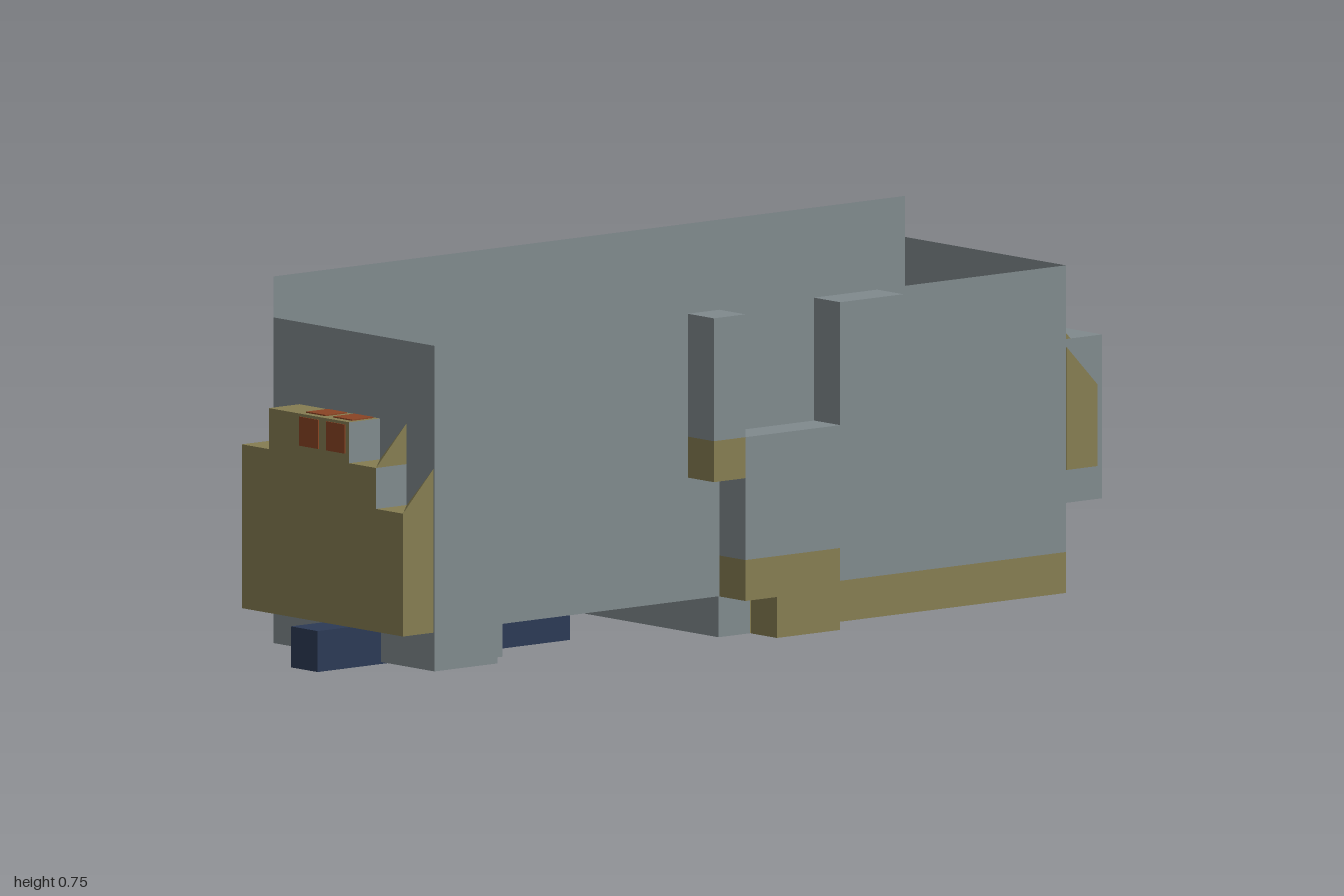
import * as THREE from 'three';
import { ConvexGeometry } from 'three/addons/geometries/ConvexGeometry.js';

const U = 1 / 12; // every size below is in grid cells of one twelfth
const paint = (name, color) => Object.assign(new THREE.MeshStandardMaterial({ color }), { name });

export function createModel() {
  const model = new THREE.Group();
  model.name = 'model';
  const grey = paint('steel grey', 0x808a8d);
  const olive = paint('olive', 0x857d52);
  const navy = paint('navy', 0x2c3a55);
  const red = paint('rust red', 0x8a4424);
  const sheet = grey.clone();
  sheet.name = 'steel grey sheet';
  sheet.side = THREE.DoubleSide;

  const add = (name, geometry, material) => {
    const mesh = new THREE.Mesh(geometry, material);
    mesh.name = name;
    model.add(mesh);
    return mesh;
  };
  // Box from its limits; mat may be a list in the order +x -x +y -y +z -z
  const box = (name, [x0, x1], [y0, y1], [z0, z1], mat) => {
    const g = new THREE.BoxGeometry((x1 - x0) * U, (y1 - y0) * U, (z1 - z0) * U);
    g.translate((x0 + x1) / 2 * U, (y0 + y1) / 2 * U, (z0 + z1) / 2 * U);
    return add(name, g, mat);
  };
  // Flat wall from a profile
  const wall = (name, pts) => {
    const shape = new THREE.Shape(pts.map(([a, b]) => new THREE.Vector2(a * U, b * U)));
    return add(name, new THREE.ShapeGeometry(shape), sheet);
  };
  // Four-sided spike filling one cell, tall at its outer inner-depth corner
  const spike = (xIn, xOut, y, zFace, zBack) => add('spike', new ConvexGeometry(
    [[xOut, y, zFace], [xOut, y + 1, zBack], [xIn, y, zBack], [xOut, y, zBack]]
      .map(p => new THREE.Vector3(...p).multiplyScalar(U))), olive);

  // Open hull: thin walls, the left one with a notch, the right one taller
  const leftWall = wall('leftWall', [[-10, 1], [10, 1], [10, 8], [1, 8], [1, 5], [-2, 5], [-2, 8], [-10, 8]]);
  const rightWall = wall('rightWall', [[-10, 1], [10, 1], [10, 9], [-10, 9]]);
  [leftWall, rightWall].forEach((w, i) => {
    w.rotation.y = -Math.PI / 2;
    w.position.x = (i ? -3 : 3) * U;
  });
  for (const s of [-1, 1]) {
    wall(s > 0 ? 'frontWall' : 'backWall', [[-3, 1], [3, 1], [3, 8], [-3, 8]]).position.z = s * 10 * U;
  }

  // Floor and its dark centre strip
  box('floor', [-3, 3], [1, 1.04], [-10, 10], grey);
  box('floorStrip', [-1, 1], [1.04, 1.08], [-10, 10], navy);
  box('underStrip', [-1, 1], [0.95, 1], [1, 8], navy);

  // Lower hull
  box('lowerHull', [-3, 3], [0, 1], [-10, 0], olive);
  box('lowerHullNose', [-3, 3], [0, 1], [0, 1], [grey, grey, grey, olive, grey, grey]);
  box('chin', [-3, 3], [0.05, 1], [8, 10], grey);
  box('chinStrip', [-1, 1], [0, 0.05], [8, 10], navy);
  box('chinStep', [-2, 2], [0, 1], [7, 8], grey);
  box('underBlock', [-1, 1], [0, 1], [4, 7], navy);
  box('nozzle', [0, 1], [0, 1], [10, 12], navy);

  // Side fittings on the notched wall
  const IN = 3.03;
  box('frontPostFoot', [IN, 4], [4, 5], [1, 2], olive);
  box('frontPost', [IN, 4], [5, 8], [1, 2], grey);
  box('sidePanel', [IN, 4], [2, 5], [-2, 1], grey);
  box('sidePanelTrim', [IN, 4], [1, 2], [-2, 1], olive);
  box('sidePanelFoot', [IN, 4], [0, 1], [-2, 0], olive);
  box('rearPost', [IN, 4], [5, 8], [-3, -2], grey);
  box('rearPostHook', [IN, 4], [7, 8], [-4, -3], grey);

  // Block on the tall wall
  box('sideBlock', [-4, -IN], [0, 6], [-2, 1], olive);

  // Stepped front plate with spikes on one side
  const F = [10.03, 11];
  box('frontPlate', [-3, 3], [1, 4], F, olive);
  box('frontPlateStep', [-3, 2], [4, 5], F, [grey, olive, olive, olive, olive, olive]);
  box('frontPlateTop', [-2, 1], [5, 6], F, [grey, grey, olive, olive, olive, olive]);
  spike(2, 3, 4, 11, 10.03);
  spike(1, 2, 5, 11, 10.03);

  // Eyes on the front and top of the plate
  for (const [x0, x1] of [[-0.84, -0.12], [0.16, 0.86]]) {
    box('eye', [x0, x1], [5.22, 5.93], [11, 11.03], red);
    box('eyeTop', [x0, x1], [6, 6.03], [10.12, 10.8], red);
  }

  // Back arch with mirrored columns and spikes
  const B = [-11, -10.03];
  box('archTop', [-1, 1], [6, 7], B, [grey, grey, olive, olive, olive, olive]);
  for (const s of [-1, 1]) {
    const span = (a, b) => [Math.min(s * a, s * b), Math.max(s * a, s * b)];
    box('archColumn', span(2, 3), [3, 5], B, olive);
    box('archShoulder', span(1, 2), [5, 6], B, [grey, grey, olive, olive, olive, olive]);
    spike(s * 2, s * 3, 5, -11, -10.03);
    spike(s, s * 2, 6, -11, -10.03);
    box('ringSide', span(1, 2), [3, 5], [-12, -11], grey);
  }

  // Square ring on the back
  box('ringTop', [-2, 2], [5, 6], [-12, -11], grey);
  box('ringBottom', [-2, 2], [2, 3], [-12, -10.03], grey);
  return model;
}
